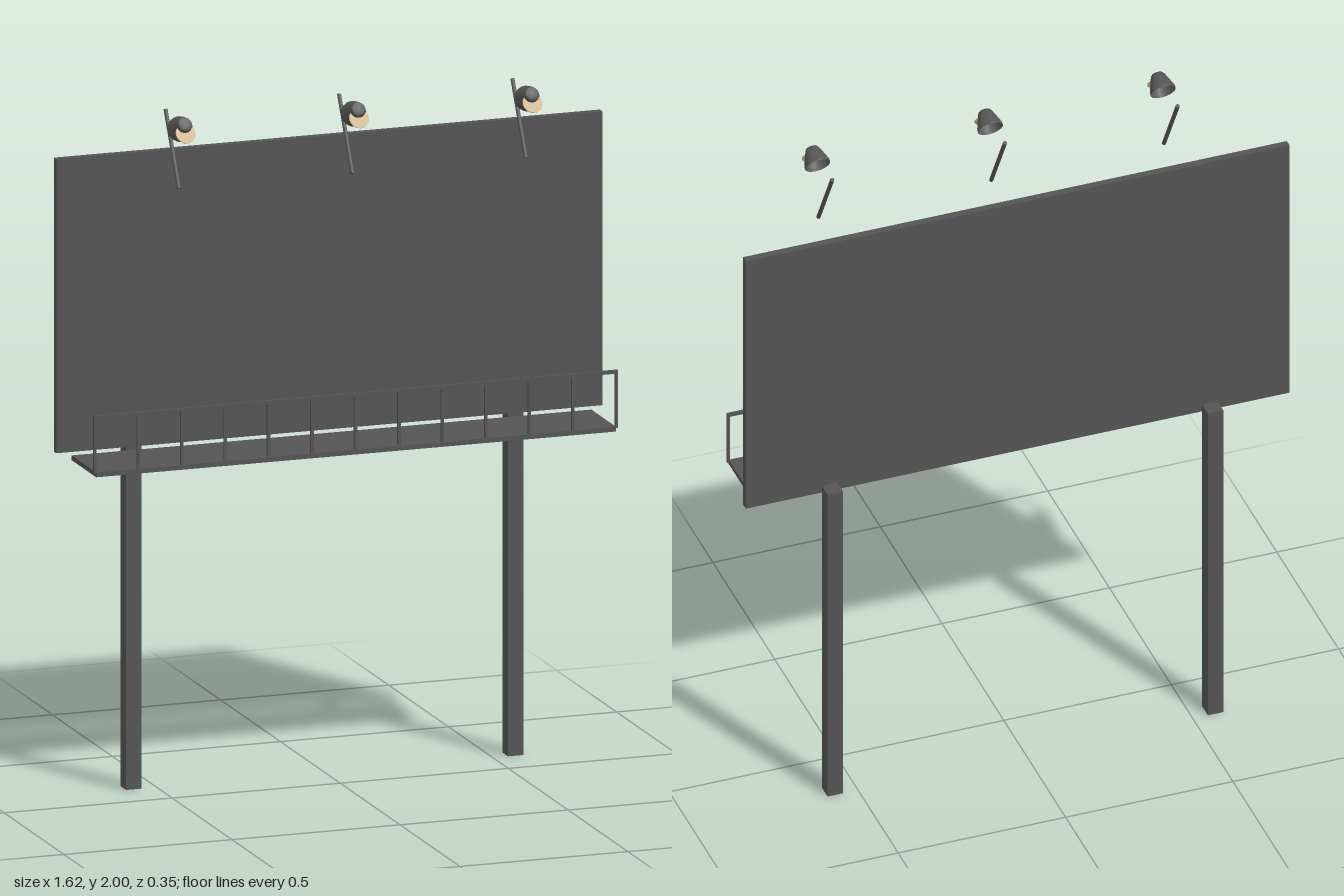
import * as THREE from 'three';

export function createModel() {
  const model = new THREE.Group();
  const steel = new THREE.MeshStandardMaterial({ color: 0x555555, side: THREE.DoubleSide });
  steel.name = 'dark grey steel';
  const glass = new THREE.MeshStandardMaterial({ color: 0xcbb083, side: THREE.DoubleSide });
  glass.name = 'warm lamp glass';

  const add = (parent, name, geometry, material, x, y, z) => {
    const mesh = new THREE.Mesh(geometry, material);
    mesh.name = name;
    mesh.position.set(x, y, z);
    parent.add(mesh);
    return mesh;
  };
  const box = (name, w, h, d, x, y, z) =>
    add(model, name, new THREE.BoxGeometry(w, h, d), steel, x, y, z);

  // Display board and its two legs
  box('board', 1.624, 0.85, 0.022, 0, 1.427, -0.102);
  for (const side of [-1, 1]) box('leg', 0.046, 1.037, 0.046, side * 0.568, 0.5185, -0.152);

  // Service walkway with a front guard rail
  box('walkway', 1.546, 0.014, 0.206, 0, 0.99, 0.03);
  box('topRail', 1.56, 0.01, 0.008, 0, 1.155, 0.128);
  for (let i = 0; i <= 12; i++) box('railPost', 0.008, 0.165, 0.008, -0.776 + i * 0.1293, 1.075, 0.128);

  // Floodlight: sloping arm, flared shade and round glass
  const arm = new THREE.CylinderGeometry(0.006, 0.006, 0.232, 8);
  const shade = new THREE.LatheGeometry([
    [0, 0.056], [0.017, 0.056], [0.021, 0.05], [0.037, 0.008], [0.037, 0],
  ].map(([r, y]) => new THREE.Vector2(r, y)), 16);
  const disc = new THREE.CylinderGeometry(0.029, 0.029, 0.003, 16);
  const tilt = Math.PI / 3; // shade axis leans forward and up
  for (const x of [-0.516, 0, 0.516]) {
    const lamp = new THREE.Group();
    lamp.name = 'floodlight';
    lamp.position.x = x;
    add(lamp, 'lampArm', arm, steel, 0, 1.89, 0.046).rotation.x = -0.505;
    add(lamp, 'lampShade', shade, steel, 0, 1.961, 0.108).rotation.x = tilt;
    add(lamp, 'lampGlass', disc, glass, 0, 1.961, 0.157).rotation.x = tilt;
    model.add(lamp);
  }
  return model;
}
